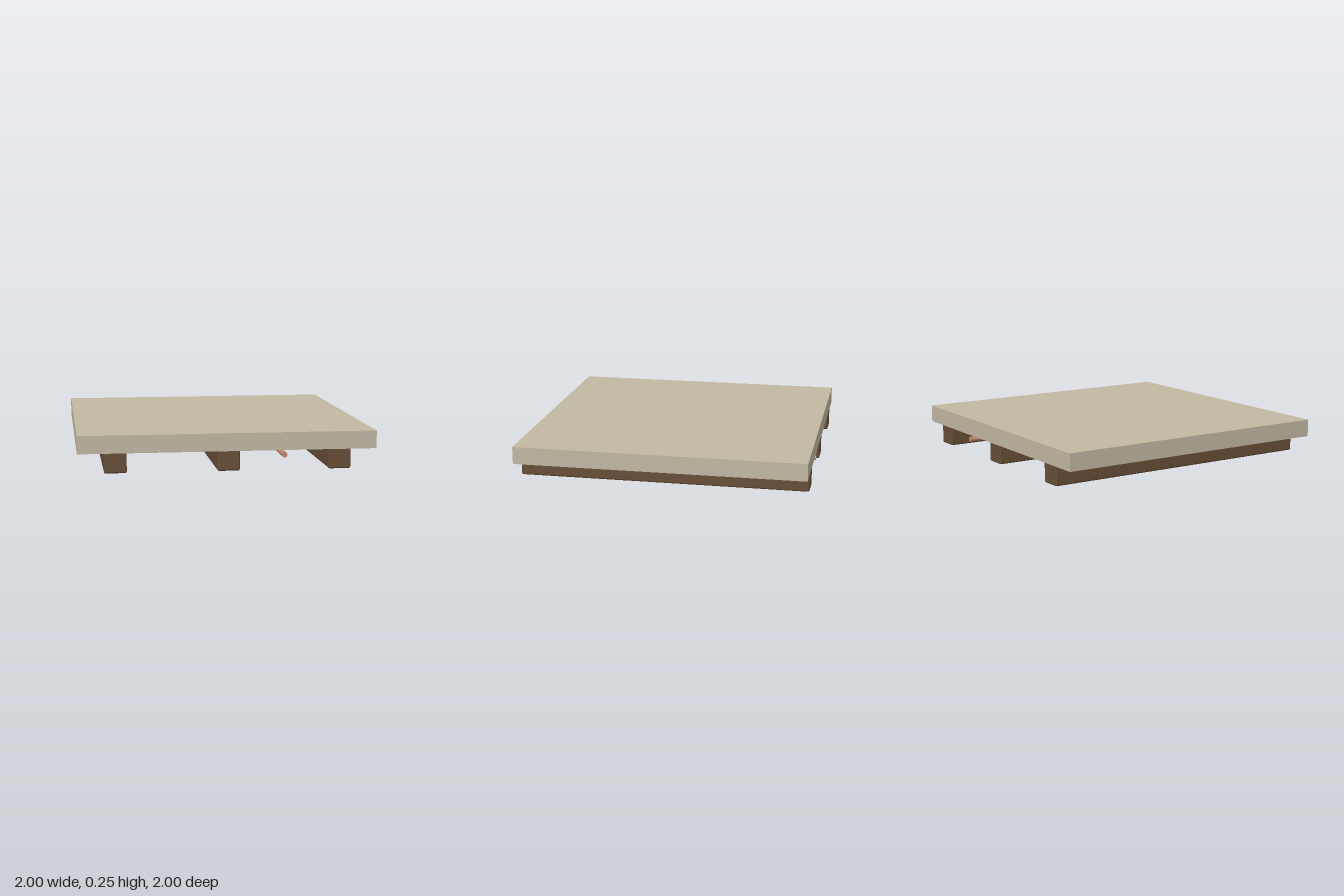
import * as THREE from 'three';
import { RoundedBoxGeometry } from 'three/addons/geometries/RoundedBoxGeometry.js';

function material(name, color) {
  const m = new THREE.MeshStandardMaterial({ color });
  m.name = name;
  return m;
}

export function createModel() {
  const model = new THREE.Group();
  model.name = 'floorSection';
  const plaster = material('beige slab', 0xc2b8a3);
  const wood = material('brown wood', 0x674e37);
  const copper = material('copper', 0xc08a6c);

  const add = (name, geometry, mat, x, y) => {
    const mesh = new THREE.Mesh(geometry, mat);
    mesh.name = name;
    mesh.position.set(x, y, 0);
    model.add(mesh);
  };

  // Square floor slab
  add('slab', new THREE.BoxGeometry(2, 0.12, 2), plaster, 0, 0.193);

  // Three joists with softened edges, tops let into the slab
  const joist = new RoundedBoxGeometry(0.15, 0.15, 1.998, 2, 0.012);
  [['rightJoist', -0.75], ['middleJoist', 0], ['leftJoist', 0.75]]
    .forEach(([name, x]) => add(name, joist, wood, x, 0.075));

  // Thin pipe running front to back between two joists
  const pipe = new THREE.CylinderGeometry(0.0185, 0.0185, 2, 12).rotateX(Math.PI / 2);
  add('pipe', pipe, copper, 0.375, 0.101);

  return model;
}
